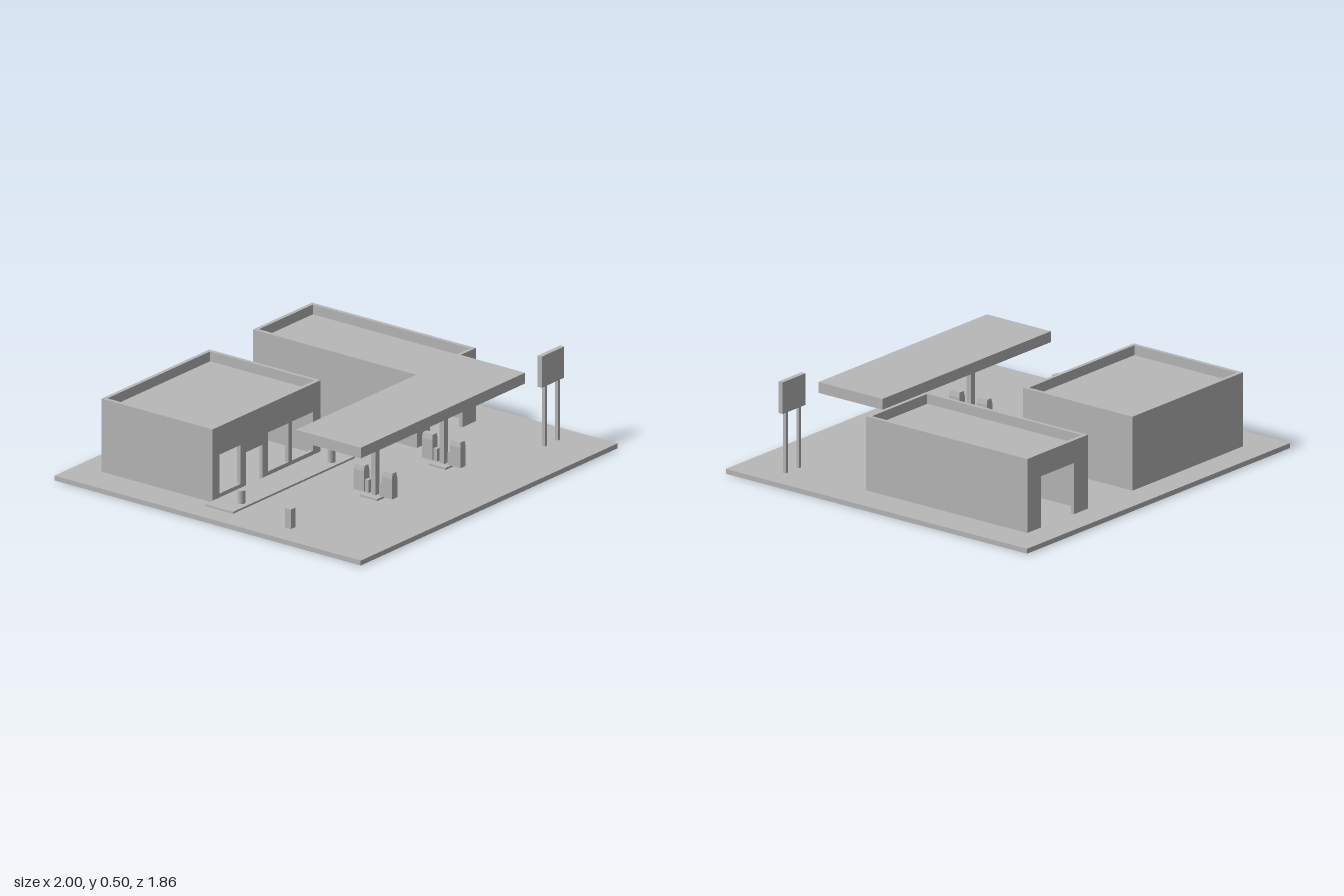
import * as THREE from 'three';

const concrete = new THREE.MeshStandardMaterial({ color: 0xb8b8b8 });
concrete.name = 'concrete grey';

const GROUND = 0.025; // top of the forecourt slab
const WALL = 0.02;
const TOP = 0.4;

function add(parent, name, geometry) {
  const mesh = new THREE.Mesh(geometry, concrete);
  mesh.name = name;
  parent.add(mesh);
  return mesh;
}

// Box given by its limits on each axis
function box(parent, name, x0, x1, y0, y1, z0, z1) {
  const mesh = add(parent, name, new THREE.BoxGeometry(x1 - x0, y1 - y0, z1 - z0));
  mesh.position.set((x0 + x1) / 2, (y0 + y1) / 2, (z0 + z1) / 2);
  return mesh;
}

// Wall facing z, with doorways cut from the ground up and windows as holes
function openWall(parent, name, x0, x1, z0, doors, windows) {
  const shape = new THREE.Shape();
  shape.moveTo(x0, GROUND);
  for (const [a, b, h] of doors) {
    shape.lineTo(a, GROUND);
    shape.lineTo(a, h);
    shape.lineTo(b, h);
    shape.lineTo(b, GROUND);
  }
  shape.lineTo(x1, GROUND);
  shape.lineTo(x1, TOP);
  shape.lineTo(x0, TOP);
  shape.closePath();
  for (const [a, b, low, high] of windows) {
    const hole = new THREE.Path();
    hole.moveTo(a, low);
    hole.lineTo(a, high);
    hole.lineTo(b, high);
    hole.lineTo(b, low);
    hole.closePath();
    shape.holes.push(hole);
  }
  const geometry = new THREE.ExtrudeGeometry(shape, { depth: WALL, bevelEnabled: false });
  add(parent, name, geometry).position.z = z0;
}

// Hollow flat-roofed building with a parapet
function building(parent, name, x0, x1, z0, z1, front, back) {
  const group = new THREE.Group();
  group.name = name;
  parent.add(group);
  openWall(group, 'frontWall', x0, x1, z1 - WALL, front.doors, front.windows);
  openWall(group, 'backWall', x0, x1, z0, back.doors, back.windows);
  box(group, 'rightWall', x0, x0 + WALL, GROUND, TOP, z0 + WALL, z1 - WALL);
  box(group, 'leftWall', x1 - WALL, x1, GROUND, TOP, z0 + WALL, z1 - WALL);
  box(group, 'roof', x0 + WALL, x1 - WALL, 0.33, 0.35, z0 + WALL, z1 - WALL);
  return group;
}

// Fuel pump cabinet with a slightly narrowed top
function pump(parent, x, z) {
  const geometry = new THREE.BoxGeometry(0.04, 0.13, 0.065, 1, 5, 1).toNonIndexed();
  const p = geometry.attributes.position;
  for (let i = 0; i < p.count; i++) {
    if (p.getY(i) > 0.06) {
      p.setX(i, p.getX(i) * 0.75);
      p.setZ(i, p.getZ(i) * 0.92);
    }
  }
  geometry.computeVertexNormals();
  add(parent, 'pump', geometry).position.set(x, 0.104, z);
}

export function createModel() {
  const model = new THREE.Group();
  model.name = 'fuelStation';

  box(model, 'forecourt', -1, 1, 0, GROUND, -0.93, 0.93);

  // Shop with a door, three windows and two shelves inside
  const shop = building(model, 'shop', -0.82, 0.02, -0.785, -0.11, {
    doors: [[-0.56, -0.43, 0.205]],
    windows: [[-0.765, -0.605, 0.055, 0.255], [-0.39, -0.23, 0.055, 0.255], [-0.2, -0.04, 0.055, 0.255]],
  }, { doors: [], windows: [] });
  for (const x of [-0.7, -0.52]) {
    box(shop, 'shelf', x - 0.047, x + 0.047, GROUND, 0.19, -0.66, -0.36);
  }

  // Pavement and round bins in front of the shop
  box(model, 'pavement', -0.88, 0.07, GROUND, 0.035, -0.11, 0.06);
  for (const x of [-0.755, -0.055]) {
    add(model, 'bin', new THREE.CylinderGeometry(0.02, 0.02, 0.067, 16)).position.set(x, 0.067, 0.015);
  }

  // Drive-through wash hall, open at both ends
  const ends = { doors: [[0.465, 0.715, 0.285]], windows: [] };
  building(model, 'washHall', 0.36, 0.82, -0.785, 0.21, ends, ends);

  // Canopy with two pump islands
  box(model, 'canopy', -0.64, 0.64, 0.375, 0.43, 0.255, 0.65);
  for (const x of [-0.268, 0.265]) {
    const island = new THREE.Group();
    island.name = 'pumpIsland';
    model.add(island);
    box(island, 'islandBase', x - 0.052, x + 0.052, GROUND, 0.035, 0.395, 0.5);
    box(island, 'column', x - 0.015, x + 0.015, 0.035, 0.375, 0.434, 0.462);
    for (const side of [-1, 1]) {
      const z = 0.448 + side * 0.043;
      box(island, 'pumpBracket', x - 0.012, x + 0.012, 0.035, 0.1, z - 0.01, z + 0.01);
      pump(island, x, 0.448 + side * 0.085);
    }
  }

  // Air and water post
  box(model, 'airPost', -0.872, -0.835, GROUND, 0.125, 0.37, 0.405);

  // Roadside sign on two posts
  box(model, 'signBoard', 0.725, 0.9, 0.335, 0.495, 0.66, 0.685);
  for (const x of [0.762, 0.863]) {
    box(model, 'signPost', x - 0.008, x + 0.008, GROUND, 0.335, 0.664, 0.681);
  }
  return model;
}
